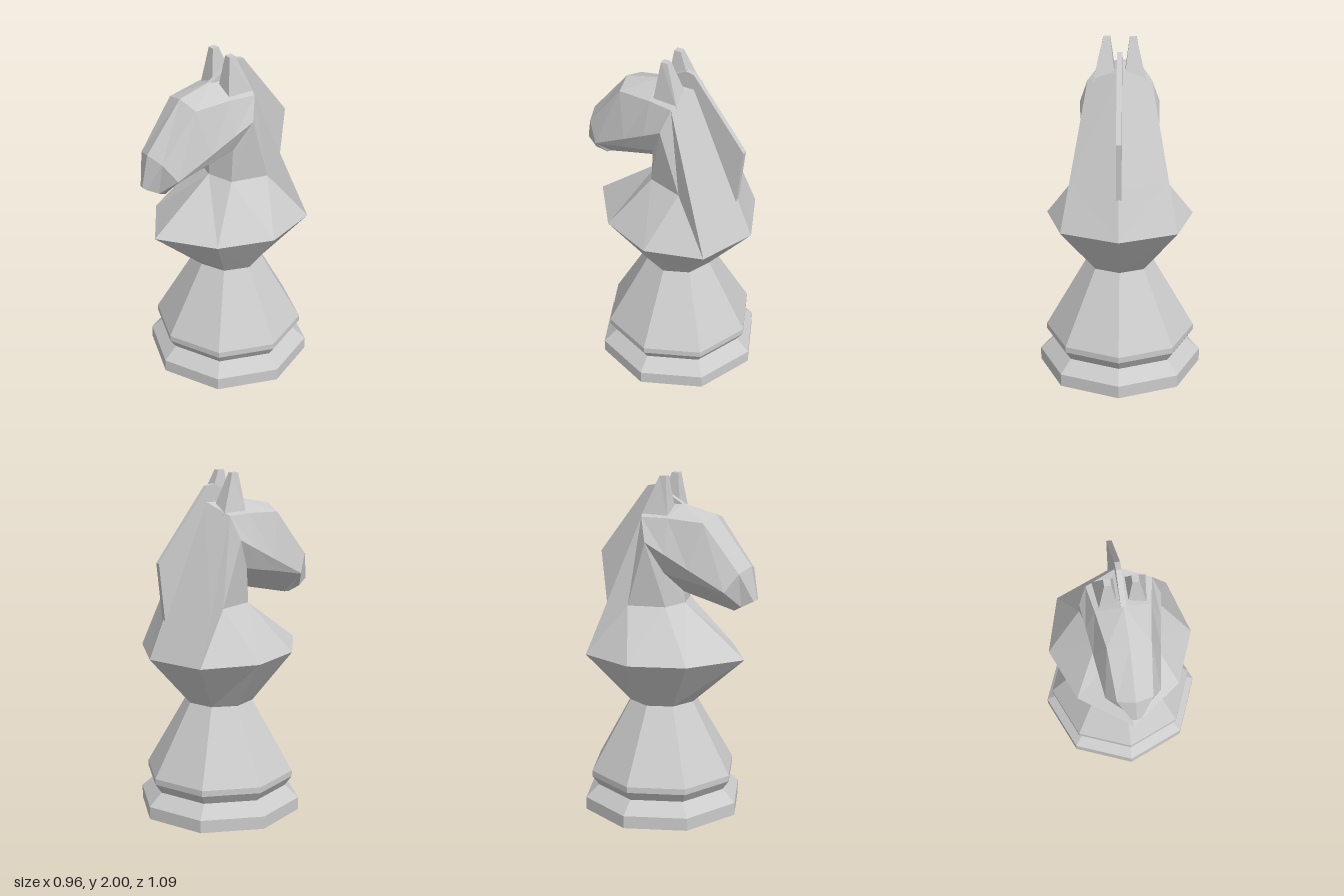
import * as THREE from 'three';

const material = new THREE.MeshStandardMaterial({ color: 0xcccccc, flatShading: true });

// Skin a list of closed rings (each running +z -> +x -> -z -> -x) and cap both ends.
// splits[i] flips the quad diagonal of band i; diagonals mirror across x = 0.
function loft(rings, splits = []) {
  const pos = [];
  const n = rings[0].length;
  const tri = (...pts) => pts.forEach((p) => pos.push(...p));
  for (let i = 0; i < rings.length - 1; i++) {
    for (let j = 0; j < n; j++) {
      const k = (j + 1) % n;
      const a = rings[i][j], b = rings[i][k], c = rings[i + 1][k], d = rings[i + 1][j];
      if ((j < n / 2) === !!splits[i]) { tri(a, b, c); tri(a, c, d); }
      else { tri(a, b, d); tri(b, c, d); }
    }
  }
  const first = rings[0], last = rings[rings.length - 1];
  for (let j = 1; j < n - 1; j++) {
    tri(first[0], first[j + 1], first[j]);
    tri(last[0], last[j], last[j + 1]);
  }
  const g = new THREE.BufferGeometry();
  g.setAttribute('position', new THREE.Float32BufferAttribute(pos, 3));
  g.computeVertexNormals();
  return g;
}

const flip = ([x, y, z]) => [-x, y, z];

// Complete a five-point half section to a symmetric eight-point ring.
const mirrorRing = (half) => [...half, ...half.slice(1, -1).reverse().map(flip)];

// Octagonal half section of the turned base.
const octagon = (y, r) => Array.from({ length: 5 }, (_, k) => {
  const a = (k * Math.PI) / 4;
  return [r * Math.sin(a), y, r * Math.cos(a) - 0.06];
});

function add(group, name, geometry) {
  const mesh = new THREE.Mesh(geometry, material);
  mesh.name = name;
  group.add(mesh);
  return mesh;
}

export function createModel() {
  const group = new THREE.Group();
  group.name = 'chessKnight';

  // Turned base: [height, radius]
  const base = [[0, 0.48], [0.075, 0.48], [0.148, 0.4], [0.205, 0.44], [0.24, 0.44], [0.665, 0.2]]
    .map(([y, r]) => octagon(y, r));

  // Half sections, running throat -> jaw -> crown ridge
  const chest = [[0, 0.965, 0.47], [0.3, 0.965, 0.25], [0.425, 0.965, -0.06], [0.33, 0.965, -0.39], [0, 0.965, -0.525]];
  const neck = [[0, 1.26, 0.085], [0.155, 1.26, 0.04], [0.22, 1.26, -0.17], [0.279, 1.24, -0.291], [0, 1.24, -0.409]];
  const poll = [[0, 1.325, 0.08], [0.155, 1.46, 0.03], [0.225, 1.64, -0.055], [0.18, 1.775, -0.1], [0, 1.84, -0.155]];
  const brow = [[0, 1.306, 0.16], [0.155, 1.44, 0.125], [0.207, 1.576, 0.061], [0.153, 1.775, 0.05], [0, 1.84, 0.075]];
  const forehead = [[0, 1.284, 0.256], [0.155, 1.42, 0.24], [0.187, 1.5, 0.2], [0.12, 1.76, 0.26], [0, 1.795, 0.28]];
  const muzzle = [[0, 1.252, 0.39], [0.153, 1.383, 0.408], [0.155, 1.387, 0.41], [0.1, 1.49, 0.475], [0, 1.52, 0.505]];
  const mouth = [[0, 1.25, 0.4], [0.03, 1.256, 0.41], [0.055, 1.29, 0.47], [0.03, 1.325, 0.535], [0, 1.33, 0.545]];

  // Base and lower body
  add(group, 'base', loft([...base, chest].map(mirrorRing)));

  // Horse neck and head
  const head = [chest, neck, poll, brow, forehead, muzzle, mouth].map(mirrorRing);
  add(group, 'neckAndHead', loft(head, [false, true]));

  // Ears: tapered four-sided spikes
  const earBase = [[0.03, 1.815, 0.035], [0.13, 1.775, 0.04], [0.15, 1.77, -0.12], [0.03, 1.815, -0.105]];
  const earTip = [[0.055, 2, 0.01], [0.093, 2, 0.01], [0.093, 2, -0.03], [0.055, 2, -0.03]];
  const ear = [earBase, earTip];
  add(group, 'leftEar', loft(ear));
  add(group, 'rightEar', loft(ear.map((ring) => ring.map(flip).reverse())));

  // Mane: thin crest along the back of the neck, outlined in (z, y)
  const outline = [[0.075, 1.838], [-0.1, 1.935], [-0.15, 1.925], [-0.465, 1.515], [-0.43, 1.18], [-0.38, 1.2], [-0.12, 1.8]];
  const shape = new THREE.Shape(outline.map(([z, y]) => new THREE.Vector2(-z, y)));
  const mane = new THREE.ExtrudeGeometry(shape, { depth: 0.03, bevelEnabled: false });
  mane.translate(0, 0, -0.015).rotateY(Math.PI / 2);
  add(group, 'mane', mane);

  return group;
}
